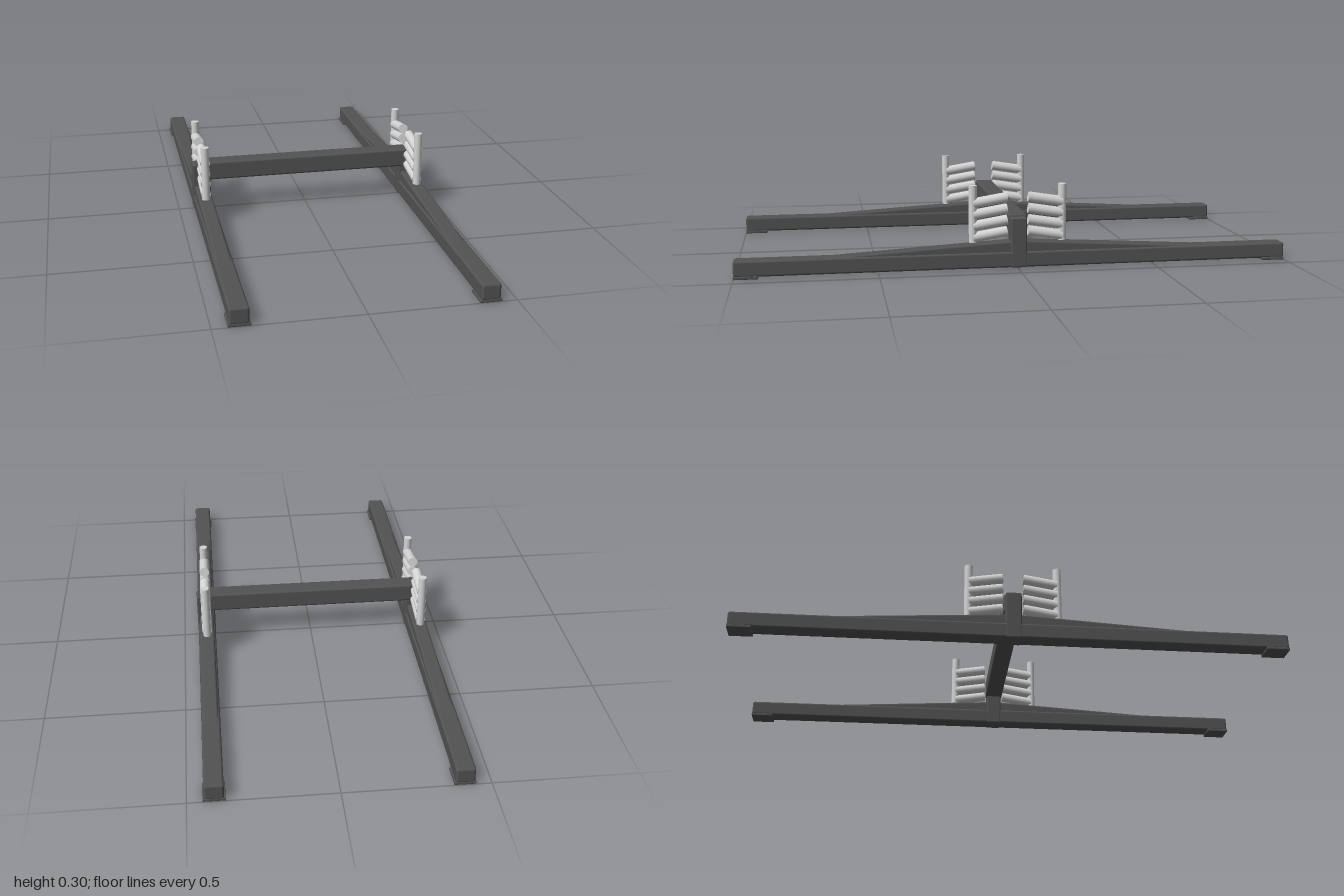
import * as THREE from 'three';
import { RoundedBoxGeometry } from 'three/addons/geometries/RoundedBoxGeometry.js';

const darkSteel = new THREE.MeshStandardMaterial({ color: 0x535353 });
darkSteel.name = 'dark steel';
const paleMetal = new THREE.MeshStandardMaterial({ color: 0xd4d4d4 });
paleMetal.name = 'pale metal';

// Square tube with softened edges
function tube(name, w, h, d, x, y, z, r = 0.008) {
  const mesh = new THREE.Mesh(new RoundedBoxGeometry(w, h, d, 2, r), darkSteel);
  mesh.name = name;
  mesh.position.set(x, y, z);
  return mesh;
}

function rod(name, radius, length, y, z) {
  const mesh = new THREE.Mesh(new THREE.CylinderGeometry(radius, radius, length, 20), paleMetal);
  mesh.name = name;
  mesh.position.set(0, y, z);
  return mesh;
}

// Upright pin with four sloping rollers, on the +z half of a rail
function createCradle() {
  const cradle = new THREE.Group();
  cradle.name = 'rollerCradle';
  cradle.add(rod('uprightPin', 0.015, 0.205, 0.2, 0.162));
  for (let i = 0; i < 4; i++) {
    const roller = rod('roller', 0.0185, 0.125, 0.248 - i * 0.041, 0.1);
    roller.rotation.x = Math.PI / 2 + 0.16;
    cradle.add(roller);
  }
  return cradle;
}

// Sloping brace, end foot and cradle for one half of a rail
function createRailHalf() {
  const half = new THREE.Group();
  half.name = 'railHalf';
  const slope = Math.atan2(0.04, 0.68);
  const brace = tube('slopingBrace', 0.054, 0.046, 0.69, 0, 0.06, 0.355);
  brace.rotation.x = slope;
  half.add(brace);
  half.add(tube('endFoot', 0.075, 0.011, 0.085, 0, 0.0055, 0.9575, 0.003));
  half.add(createCradle());
  return half;
}

function createRail() {
  const rail = new THREE.Group();
  rail.name = 'rail';
  rail.add(tube('skid', 0.066, 0.057, 2, 0, 0.0355, 0));
  rail.add(tube('centrePost', 0.068, 0.181, 0.058, 0, 0.0965, 0, 0.006));
  const front = createRailHalf();
  const back = createRailHalf();
  back.rotation.y = Math.PI;
  rail.add(front, back);
  return rail;
}

export function createModel() {
  const model = new THREE.Group();
  model.name = 'railFrame';
  for (const side of [-1, 1]) {
    const rail = createRail();
    rail.position.x = side * 0.411;
    model.add(rail);
  }
  // Crossbeam joining the two posts
  model.add(tube('crossbeam', 0.825, 0.071, 0.068, 0, 0.16, 0));
  return model;
}
